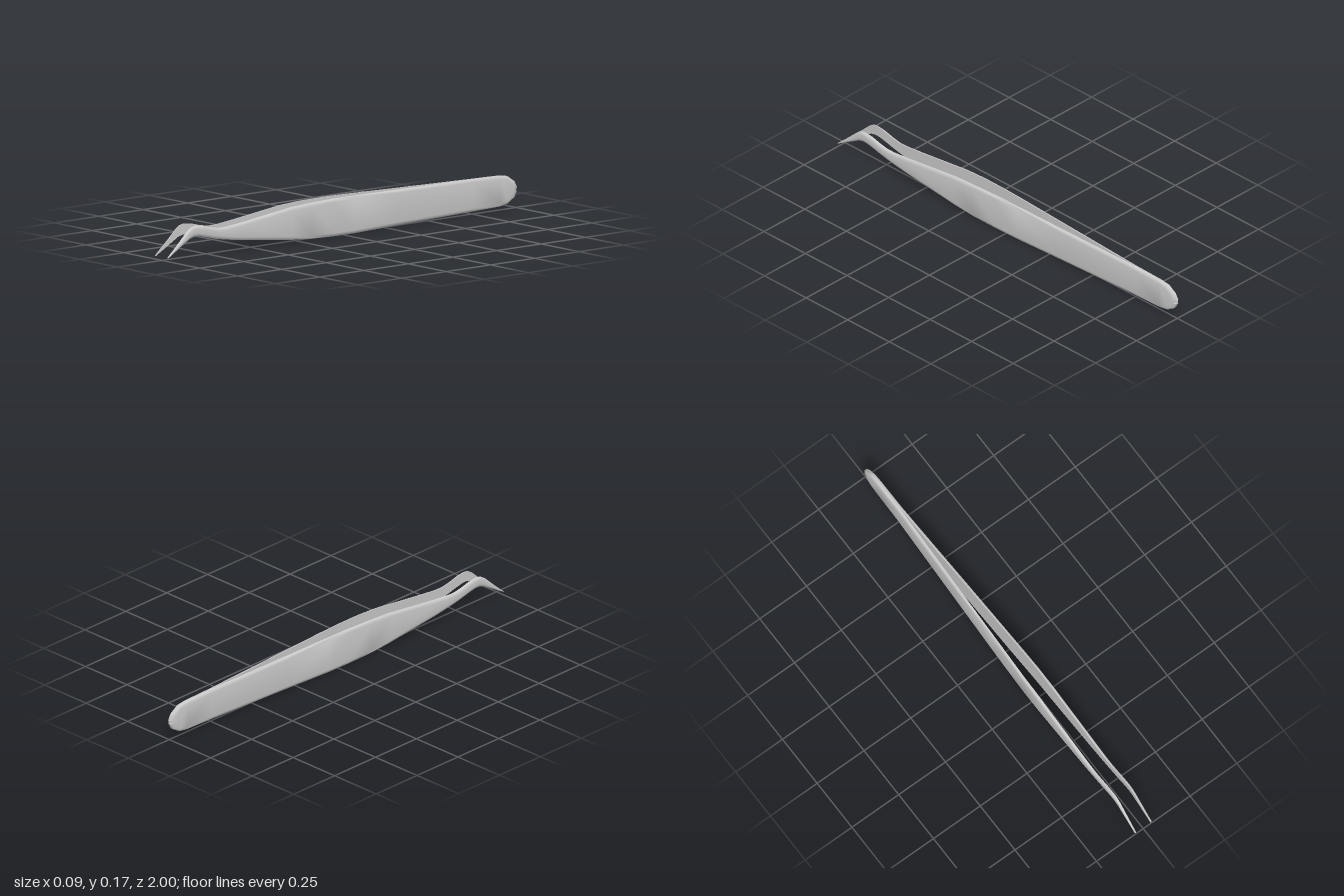
import * as THREE from 'three';
import { toCreasedNormals } from 'three/addons/utils/BufferGeometryUtils.js';

// Outline of an arm, tip to rear: [top z, top y, bottom z, bottom y]
const OUTLINE = [
  [1, 0.018, 1, 0.014], [0.93, 0.08, 0.93, 0.054], [0.89, 0.118, 0.875, 0.085],
  [0.865, 0.134, 0.85, 0.091], [0.84, 0.138, 0.825, 0.09], [0.8, 0.133, 0.79, 0.083],
  [0.75, 0.12, 0.74, 0.071], [0.71, 0.113, 0.7, 0.063], [0.67, 0.113, 0.65, 0.055],
  [0.58, 0.122, 0.58, 0.045], [0.3, 0.156, 0.3, 0.014], [0.19, 0.162, 0.19, 0.006],
  [0.06, 0.165, 0.06, 0.001], [-0.06, 0.164, -0.06, 0], [-0.3, 0.16, -0.3, 0.005],
  [-0.75, 0.153, -0.75, 0.012], [-0.9, 0.15, -0.9, 0.016], [-0.945, 0.144, -0.945, 0.023],
  [-0.985, 0.118, -0.985, 0.047], [-1, 0.092, -1, 0.075],
];

// Spread of the arm: [z, inner x, outer x]
const SPREAD = [
  [1, 0.038, 0.045], [0.8, 0.034, 0.046], [0.4, 0.033, 0.047], [0.2, 0.033, 0.045],
  [0, 0.027, 0.038], [-0.4, 0.013, 0.025], [-0.75, 0, 0.013], [-1, 0, 0.012],
];

function spreadAt(z) {
  let i = 0;
  while (i < SPREAD.length - 2 && SPREAD[i + 1][0] > z) i++;
  const [a, b] = [SPREAD[i], SPREAD[i + 1]];
  const t = (a[0] - z) / (a[0] - b[0]);
  return [1, 2].map((k) => THREE.MathUtils.lerp(a[k], b[k], t));
}

// Loft one arm: flat sharp-edged inside, rounded edges on the outside
function armGeometry(side) {
  const pos = [], index = [], n = 8;
  for (const [tz, ty, bz, by] of OUTLINE) {
    const height = Math.hypot(tz - bz, ty - by);
    const bevel = Math.min(0.014, height * 0.3) / height;
    const endInset = 0.015 * THREE.MathUtils.clamp((-0.93 - tz) / 0.07, 0, 1);
    // [0 inner to 1 outer, 0 bottom to 1 top]
    const half = [[0, 0], [0.5, 0], [0.83, bevel * 0.3], [1, bevel]];
    const ring = [...half, ...half.map(([u, v]) => [u, 1 - v]).reverse()];
    for (const [u, v] of ring) {
      const z = THREE.MathUtils.lerp(bz, tz, v);
      const [xi, xo] = spreadAt(z);
      const inset = endInset * Math.max(0, (u - 0.5) * 2) ** 2;
      pos.push(side * THREE.MathUtils.lerp(xi, xo, u), THREE.MathUtils.lerp(by, ty, v), z + inset);
    }
  }
  const tri = (a, b, c) => (side > 0 ? index.push(a, b, c) : index.push(a, c, b));
  const last = (OUTLINE.length - 1) * n;
  for (let r = 0; r < last; r += n) {
    for (let k = 0; k < n; k++) {
      const m = (k + 1) % n;
      tri(r + k, r + n + k, r + m);
      tri(r + m, r + n + k, r + n + m);
    }
  }
  // Close both ends
  for (let k = 1; k < n - 1; k++) {
    tri(0, k, k + 1);
    tri(last, last + k + 1, last + k);
  }
  const g = new THREE.BufferGeometry();
  g.setAttribute('position', new THREE.Float32BufferAttribute(pos, 3));
  g.setIndex(index);
  return toCreasedNormals(g, 0.9);
}

export function createModel() {
  const model = new THREE.Group();
  model.name = 'curvedTweezers';
  const material = new THREE.MeshStandardMaterial({ color: 0xcccccc });
  for (const side of [1, -1]) {
    const arm = new THREE.Mesh(armGeometry(side), material);
    arm.name = side > 0 ? 'leftArm' : 'rightArm';
    model.add(arm);
  }
  return model;
}
